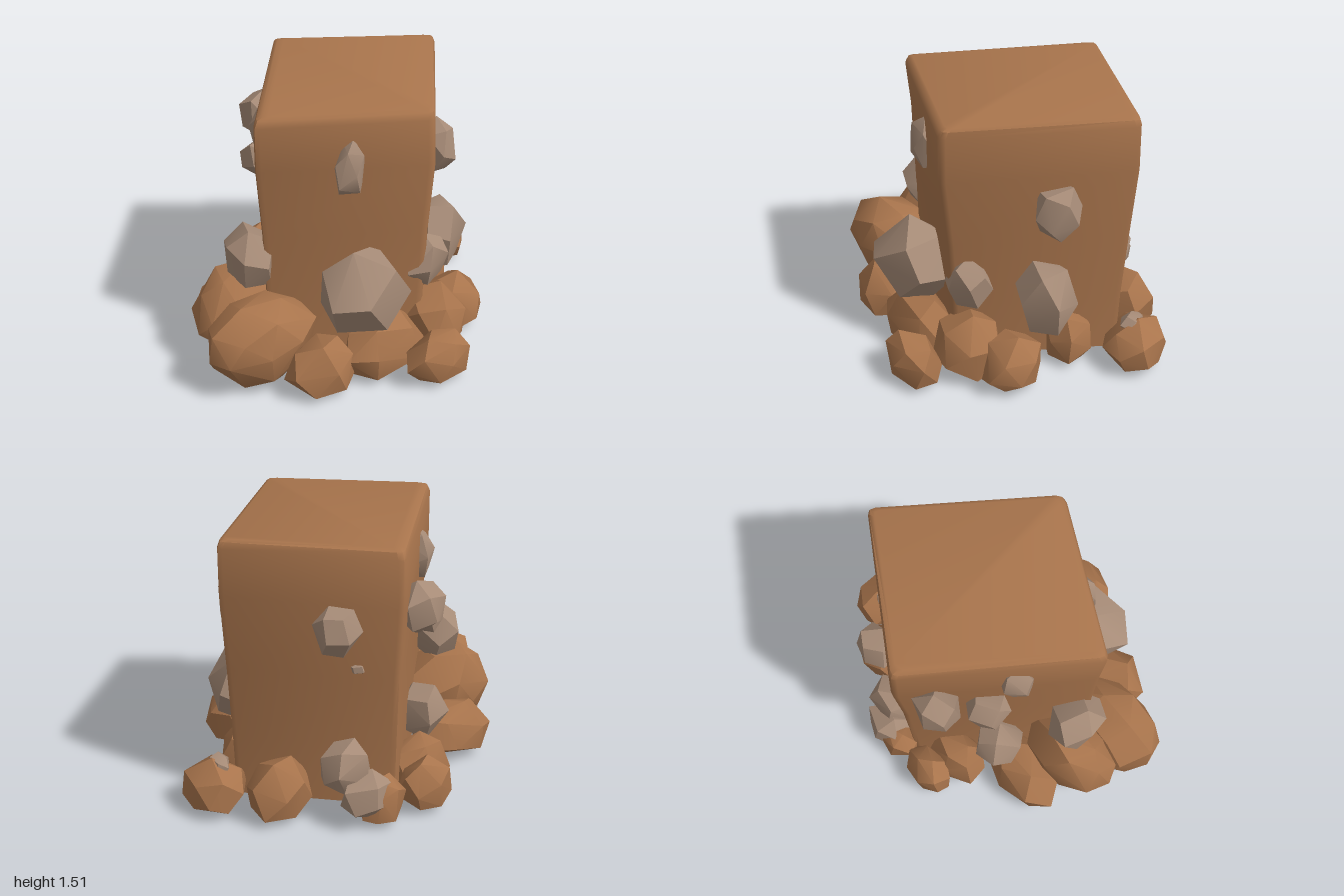
import * as THREE from 'three';
import { toCreasedNormals } from 'three/addons/utils/BufferGeometryUtils.js';
import { ConvexGeometry } from 'three/addons/geometries/ConvexGeometry.js';

const brown = new THREE.MeshStandardMaterial({ color: 0xa8744c });
brown.name = 'earthBrown';
const grey = new THREE.MeshStandardMaterial({ color: 0xa68b77 });
grey.name = 'stoneGrey';

function seeded(seed) {
  let s = seed * 7919 + 17;
  return () => (s = (s * 16807) % 2147483647) / 2147483647;
}

// Faceted stone: hull of scattered points, fitted to a box of half-sizes r, cut flat at the floor
function stone(name, material, count, seed, [x, y, z, rx, ry, rz], floor) {
  const rnd = seeded(seed);
  for (let i = 0; i < 5; i++) rnd();
  const turn = new THREE.Euler(rnd() * 6, rnd() * 6, rnd() * 6);
  const points = [];
  for (let i = 0; i < count; i++) {
    const h = 1 - (2 * i + 1) / count, a = i * 2.39996 + rnd() * 0.3, w = Math.sqrt(1 - h * h);
    points.push(new THREE.Vector3(w * Math.cos(a), h, w * Math.sin(a))
      .multiplyScalar(0.95 + rnd() * 0.1).applyEuler(turn));
  }
  const box = new THREE.Box3().setFromPoints(points);
  const mid = box.getCenter(new THREE.Vector3()), size = box.getSize(new THREE.Vector3());
  const half = new THREE.Vector3(rx, ry, rz), centre = new THREE.Vector3(x, y, z);
  for (const p of points) {
    p.sub(mid).divide(size).multiplyScalar(2).multiply(half).add(centre);
    p.y = Math.max(p.y, floor);
  }
  const mesh = new THREE.Mesh(toCreasedNormals(new ConvexGeometry(points), 0.6), material);
  mesh.name = name;
  return mesh;
}

// Four-sided block lofted through rounded cross-sections
function blockGeometry() {
  // height, then left, front, right and back corners as x, z
  const levels = [
    [0.04, [-0.72, -0.02], [0.08, 0.59], [0.48, -0.15], [-0.22, -0.725]],
    [0.40, [-0.725, -0.02], [0.08, 0.59], [0.495, -0.15], [-0.22, -0.735]],
    [0.80, [-0.735, -0.02], [0.08, 0.60], [0.515, -0.15], [-0.23, -0.755]],
    [1.20, [-0.765, -0.02], [0.07, 0.62], [0.555, -0.15], [-0.24, -0.78]],
    [1.45, [-0.75, -0.02], [0.09, 0.63], [0.545, -0.145], [-0.235, -0.775]],
    [1.485, [-0.735, -0.02], [0.085, 0.61], [0.53, -0.15], [-0.235, -0.76]],
    [1.495, [-0.70, -0.02], [0.08, 0.575], [0.50, -0.15], [-0.23, -0.73]],
  ];
  const pos = [], idx = [], n = 12;
  for (const [y, ...corners] of levels) {
    const c = corners.map(([x, z]) => new THREE.Vector2(x, z));
    c.forEach((p, i) => {
      const a = c[(i + 3) % 4].clone().sub(p).setLength(0.035);
      const b = c[(i + 1) % 4].clone().sub(p).setLength(0.035);
      for (const [u, v] of [[1, 0], [0.25, 0.25], [0, 1]]) {
        const q = p.clone().addScaledVector(a, u).addScaledVector(b, v);
        pos.push(q.x, y - (y > 1 ? 0.018 * q.y : 0), q.y);
      }
    });
  }
  const last = levels.length - 1;
  for (let i = 0; i < last; i++) {
    for (let j = 0; j < n; j++) {
      const a = i * n + j, b = i * n + (j + 1) % n;
      idx.push(a, b, b + n, a, b + n, a + n);
    }
  }
  for (let j = 1; j < n - 1; j++) {
    idx.push(last * n, last * n + j, last * n + j + 1, 0, j + 1, j);
  }
  const g = new THREE.BufferGeometry();
  g.setAttribute('position', new THREE.Float32BufferAttribute(pos, 3));
  g.setIndex(idx);
  return toCreasedNormals(g, 0.9);
}

export function createModel() {
  const model = new THREE.Group();
  model.name = 'rockPillar';

  const block = new THREE.Mesh(blockGeometry(), brown);
  block.name = 'block';
  model.add(block);

  // Two large boulders at the front: centre, half-sizes
  [
    [0.18, 0.25, 0.70, 0.215, 0.25, 0.30],
    [-0.10, 0.28, 0.65, 0.20, 0.25, 0.28],
  ].forEach((b, i) => model.add(stone('frontBoulder', brown, 26, i + 3, b, 0)));

  // Ring of brown rocks around the foot, cut flat: x, z, half-sizes in x and z, top
  const foot = [
    [-0.35, 0.55, 0.17, 0.24, 0.33],
    [-0.57, 0.20, 0.13, 0.17, 0.32],
    [-0.75, 0.13, 0.11, 0.15, 0.31],
    [-0.75, -0.12, 0.10, 0.13, 0.28],
    [-0.46, -0.57, 0.15, 0.17, 0.35],
    [-0.22, -0.825, 0.175, 0.175, 0.30],
    [0.00, -0.56, 0.13, 0.15, 0.31],
    [0.38, -0.47, 0.18, 0.165, 0.32],
    [0.47, -0.25, 0.19, 0.19, 0.40],
    [0.72, -0.06, 0.135, 0.19, 0.29],
    [0.44, 0.48, 0.155, 0.19, 0.31],
    [0.49, 0.10, 0.15, 0.27, 0.34],
  ];
  const below = -0.07;
  foot.forEach(([x, z, rx, rz, top], i) => {
    const b = [x, (top + below) / 2, z, rx, (top - below) / 2, rz];
    model.add(stone('footRock', brown, 18, i + 11, b, 0.045));
  });

  // Grey stones set into the faces
  const greys = [
    [-0.62, 1.12, 0.14, 0.12, 0.145, 0.125],
    [-0.26, 1.25, 0.35, 0.09, 0.14, 0.09],
    [-0.41, 0.96, 0.28, 0.115, 0.11, 0.115],
    [0.33, 1.20, 0.22, 0.065, 0.16, 0.09],
    [-0.03, 0.64, 0.60, 0.17, 0.17, 0.135],
    [0.43, 0.52, 0.20, 0.21, 0.24, 0.26],
    [-0.38, 0.36, 0.34, 0.14, 0.16, 0.13],
    [0.43, 0.57, -0.20, 0.10, 0.145, 0.13],
    [0.16, 0.47, -0.53, 0.15, 0.215, 0.15],
    [0.10, 1.00, -0.53, 0.12, 0.15, 0.12],
    [-0.75, 0.19, -0.21, 0.11, 0.13, 0.14],
    [-0.62, 1.08, -0.31, 0.10, 0.12, 0.11],
    [-0.63, 0.31, -0.27, 0.12, 0.14, 0.14],
    [-0.59, 0.85, -0.18, 0.05, 0.04, 0.05],
    [-0.23, 0.25, -0.81, 0.08, 0.055, 0.06],
  ];
  greys.forEach((b, i) => model.add(stone('greyStone', grey, 14, i + 41, b, 0.05)));

  return model;
}
